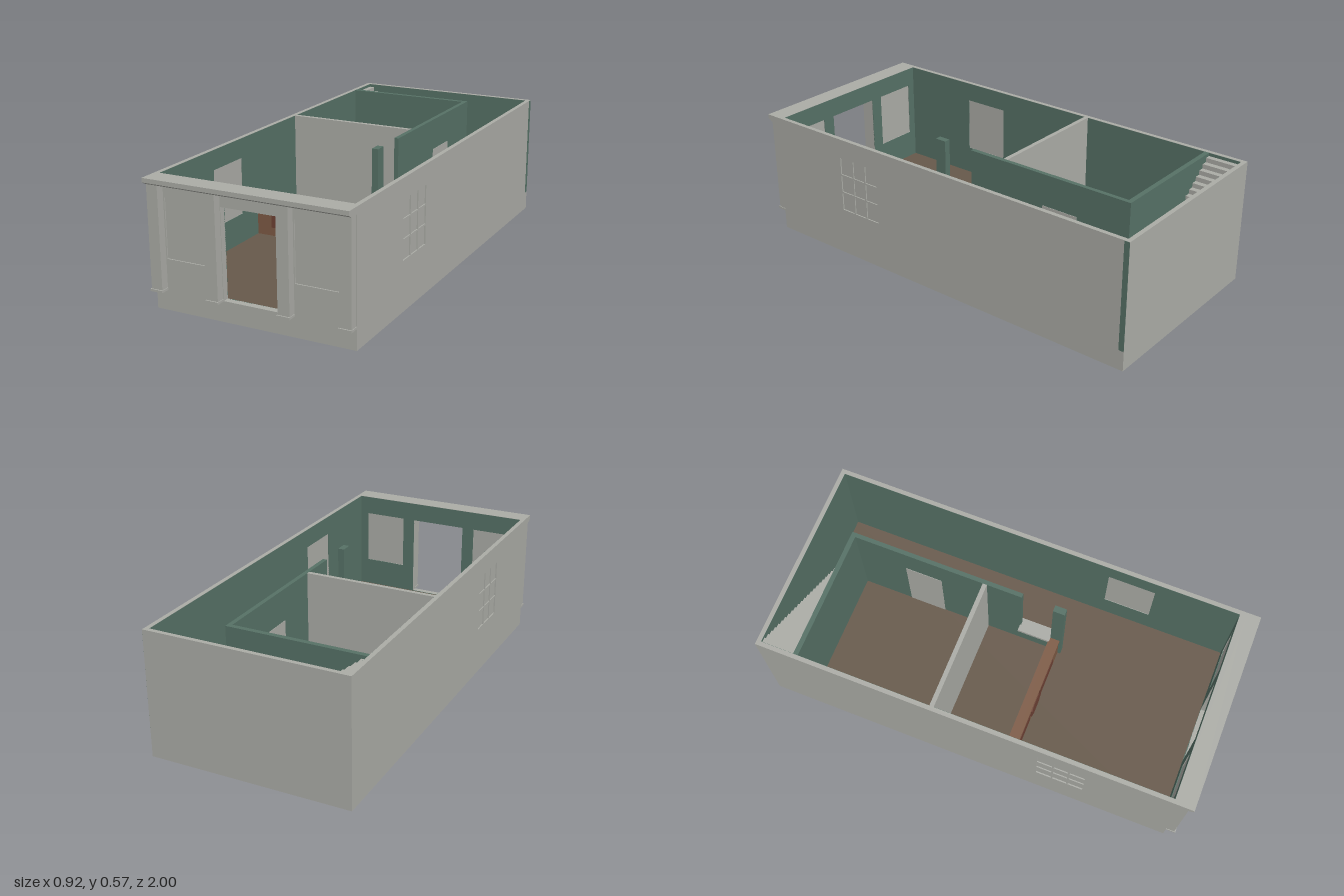
import * as THREE from 'three';

const mat = (name, color, extra = {}) => {
  const m = new THREE.MeshStandardMaterial({ color, ...extra });
  m.name = name;
  return m;
};

export function createModel() {
  const model = new THREE.Group();
  model.name = 'openShopBuilding';
  const stone = mat('stoneGrey', 0xabaca6);
  const green = mat('wallGreen', 0x567166);
  const brown = mat('floorBrown', 0x67594b);
  const wood = mat('counterWood', 0x7d5a44);
  const red = mat('panelRed', 0x6d4134);

  const add = (name, geo, m) => {
    const mesh = new THREE.Mesh(geo, m);
    mesh.name = name;
    model.add(mesh);
    return mesh;
  };
  // Box given by its limits on each axis
  const box = (name, m, x0, x1, y0, y1, z0, z1) => {
    const g = new THREE.BoxGeometry(x1 - x0, y1 - y0, z1 - z0);
    g.translate((x0 + x1) / 2, (y0 + y1) / 2, (z0 + z1) / 2);
    return add(name, g, m);
  };
  const rect = (P, u0, u1, v0, v1) => {
    const p = new P();
    p.moveTo(u0, v0);
    p.lineTo(u1, v0);
    p.lineTo(u1, v1);
    p.lineTo(u0, v1);
    p.closePath();
    return p;
  };
  // Slab with rectangular holes, extruded along z from 0 to depth
  const slab = (outline, holes, depth) => {
    const s = rect(THREE.Shape, ...outline);
    holes.forEach(h => s.holes.push(rect(THREE.Path, ...h)));
    return new THREE.ExtrudeGeometry(s, { depth, bevelEnabled: false });
  };

  const TOP = 0.575, FLOOR = 0.09;

  // Foundation and floor
  box('foundation', stone, -0.45, 0.45, 0, 0.08, -0.99, 0.925);
  box('floor', brown, -0.44, 0.44, 0.08, FLOOR, -0.98, 0.91);

  // Side walls, each with a window; u runs along -z
  const sideWindow = [-0.53, -0.31, 0.225, 0.485];
  for (const s of [-1, 1]) {
    const wall = slab([-0.91, 0.98, 0, TOP], [sideWindow], 0.02);
    wall.rotateY(Math.PI / 2).translate(s > 0 ? 0.44 : -0.46, 0, 0);
    add('sideWall', wall, stone);
    const liner = slab([-0.91, 0.98, FLOOR, TOP - 0.001], [sideWindow], 0.004);
    liner.rotateY(Math.PI / 2).translate(s > 0 ? 0.439 : -0.443, 0, 0);
    add('sideWallLining', liner, green);

    // Recessed pane with a grid of glazing bars
    const xs = (a, b) => [Math.min(s * a, s * b), Math.max(s * a, s * b)];
    box('sideWindowPane', stone, ...xs(0.442, 0.454), 0.225, 0.485, 0.31, 0.53);
    for (const i of [1, 2]) {
      const z = 0.31 + 0.22 * i / 3, y = 0.225 + 0.26 * i / 3;
      box('sideWindowBar', stone, ...xs(0.452, 0.459), 0.225, 0.485, z - 0.004, z + 0.004);
      box('sideWindowBar', stone, ...xs(0.452, 0.459), y - 0.004, y + 0.004, 0.31, 0.53);
    }
  }

  // Back wall
  box('backWall', stone, -0.46, 0.46, 0, TOP, -1, -0.98);
  box('backWallLining', green, -0.44, 0.44, FLOOR, TOP - 0.001, -0.983, -0.979);
  box('backCornerStrip', green, 0.458, 0.4605, FLOOR, TOP - 0.001, -0.9995, -0.975);

  // Front wall with doorway and two windows
  const openings = [
    [-0.4, -0.195, 0.225, 0.485],
    [0.195, 0.4, 0.225, 0.485],
    [-0.135, 0.135, FLOOR + 0.001, 0.485],
  ];
  add('frontWall', slab([-0.46, 0.46, 0, TOP], openings, 0.03).translate(0, 0, 0.91), stone);
  add('frontWallLining', slab([-0.44, 0.44, FLOOR, TOP - 0.001], openings, 0.004)
    .translate(0, 0, 0.909), green);
  for (const [x0, x1] of openings.slice(0, 2))
    box('frontWindowPane', stone, x0, x1, 0.225, 0.485, 0.913, 0.934);

  // Pilasters with small plinths
  for (const [x0, x1] of [[-0.457, -0.405], [-0.19, -0.137], [0.137, 0.19], [0.405, 0.457]]) {
    box('pilaster', stone, x0, x1, 0.1, 0.548, 0.935, 0.978);
    box('pilasterPlinth', stone, x0 - 0.003, x1 + 0.003, FLOOR, 0.1, 0.935, 0.984);
  }

  // Cornice with a chamfered underside; profile in (z, y)
  const profile = new THREE.Shape([
    [0.93, 0.545], [0.98, 0.545], [1, 0.556], [1, TOP], [0.93, TOP],
  ].map(p => new THREE.Vector2(-p[0], p[1])));
  add('cornice', new THREE.ExtrudeGeometry(profile, { depth: 0.92, bevelEnabled: false })
    .rotateY(Math.PI / 2).translate(-0.46, 0, 0), stone);

  // Inner partitions
  box('stairPartition', green, -0.44, 0.185, FLOOR, TOP, -0.827, -0.805);
  box('corridorPartition', green, 0.165, 0.185, FLOOR, TOP, -0.806, -0.005);
  box('partitionPost', green, 0.155, 0.185, FLOOR, TOP, 0.145, 0.2);
  box('roomDivider', stone, -0.44, 0.165, FLOOR, TOP, -0.19, -0.17);
  box('innerDoor', stone, 0.163, 0.187, FLOOR, 0.43, -0.57, -0.395);

  // Low pass-through with a shelf
  box('passThroughWall', green, 0.165, 0.185, FLOOR, 0.235, -0.005, 0.145);
  box('passThroughShelf', stone, 0.135, 0.2, 0.235, 0.25, -0.01, 0.145);

  // Staircase rising towards the right wall
  const steps = 23, run = 0.6 / steps, rise = (0.56 - FLOOR) / steps;
  for (let i = 0; i < steps; i++) {
    const x1 = 0.16 - i * run;
    box('stairStep', stone, x1 - run, x1, FLOOR, FLOOR + rise * (i + 1), -0.979, -0.827);
  }

  // Counter with raised panels
  box('counterBody', wood, -0.44, 0.155, FLOOR, 0.238, 0.147, 0.186);
  box('counterTop', wood, -0.44, 0.158, 0.238, 0.25, 0.14, 0.19);
  const cx = -0.1425;
  for (const s of [-1, 1])
    box('counterSidePanel', red, cx + s * 0.1475 - 0.075, cx + s * 0.1475 + 0.075, 0.13, 0.21, 0.184, 0.189);
  const octagon = new THREE.Shape([
    [-0.0275, 0.105], [0.0275, 0.105], [0.0575, 0.135], [0.0575, 0.205],
    [0.0275, 0.235], [-0.0275, 0.235], [-0.0575, 0.205], [-0.0575, 0.135],
  ].map(p => new THREE.Vector2(cx + p[0], p[1])));
  add('counterCentrePanel', new THREE.ExtrudeGeometry(octagon, { depth: 0.008, bevelEnabled: false })
    .translate(0, 0, 0.184), red);

  return model;
}
